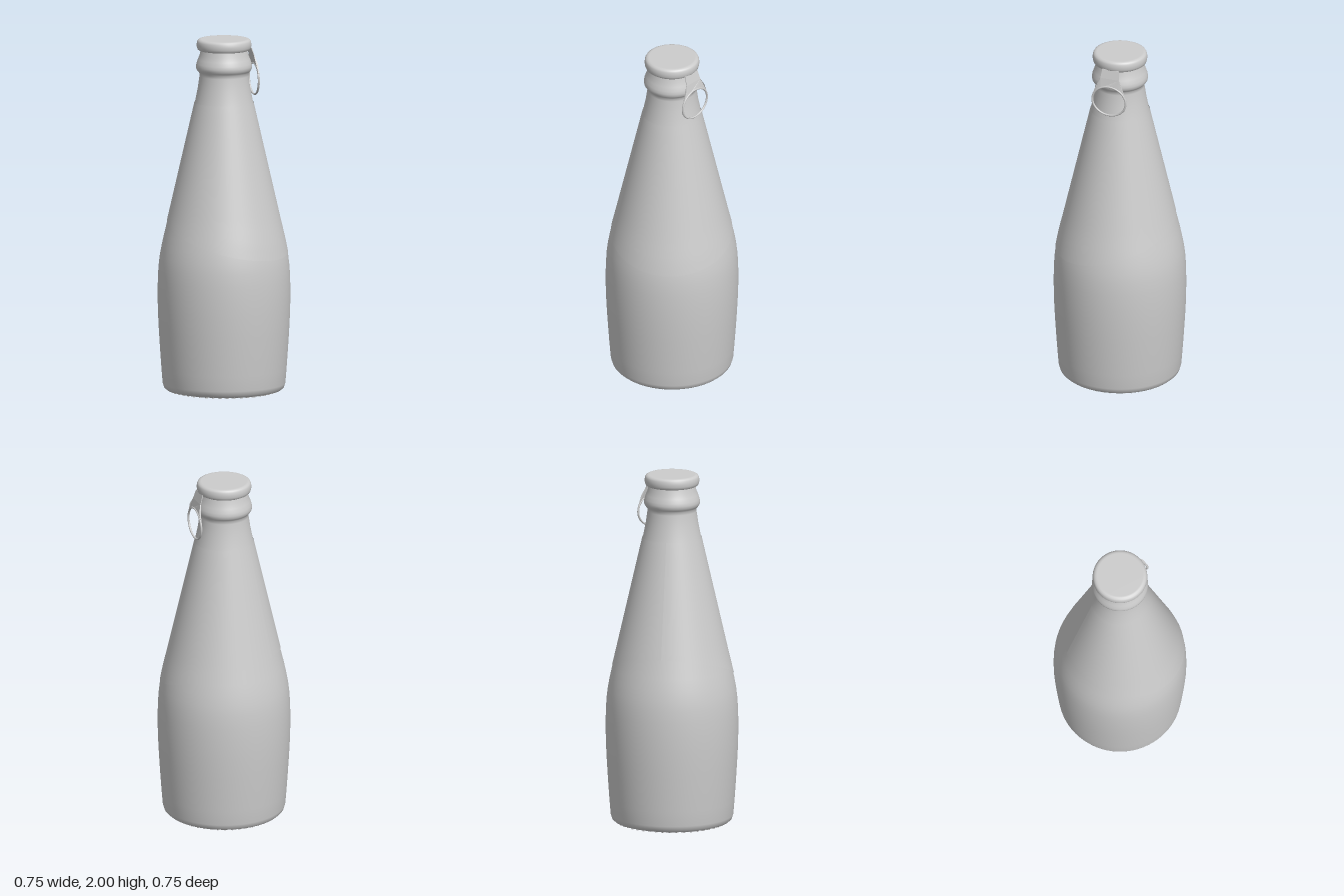
import * as THREE from 'three';

const SEGMENTS = 72;
const glassGrey = new THREE.MeshStandardMaterial({ color: 0xcccccc, side: THREE.DoubleSide });
glassGrey.name = 'plain grey';

const lathe = (pts, start = 0) =>
  new THREE.LatheGeometry(pts.map(([r, y]) => new THREE.Vector2(r, y)), SEGMENTS, start);

function addMesh(parent, name, geometry) {
  const mesh = new THREE.Mesh(geometry, glassGrey);
  mesh.name = name;
  parent.add(mesh);
  return mesh;
}

// Outer bottle profile as [radius, height], foot to lip
const PROFILE = [
  [0.305, 0.004], [0.325, 0.01], [0.338, 0.022], [0.345, 0.045], [0.352, 0.13], [0.359, 0.23],
  [0.366, 0.34], [0.372, 0.46], [0.373, 0.56], [0.372, 0.64], [0.368, 0.71], [0.361, 0.77],
  [0.35, 0.83], [0.337, 0.89], [0.32, 0.96], [0.164, 1.64], [0.148, 1.72], [0.138, 1.79],
  [0.139, 1.808], [0.148, 1.818], [0.156, 1.83], [0.158, 1.845], [0.155, 1.862],
  [0.147, 1.885], [0.137, 1.91], [0.13, 1.945],
];

// Radius of the bottle at a height
function radiusAt(y) {
  const i = Math.max(1, PROFILE.findIndex((p) => p[1] >= y));
  const [r0, y0] = PROFILE[i - 1];
  const [r1, y1] = PROFILE[i];
  return r0 + ((r1 - r0) * (y - y0)) / (y1 - y0);
}

// Thin wrap around the shoulder: lower edge dips at the front, seam at the back
function labelGeometry() {
  const rows = Array.from({ length: 17 }, (_, i) => [1, i / 16]);
  const geo = lathe(rows, Math.PI);
  const pos = geo.attributes.position;
  for (let i = 0; i < pos.count; i++) {
    const x = pos.getX(i), z = pos.getZ(i);
    const y = THREE.MathUtils.lerp(0.885 - 0.11 * z, 1.64, pos.getY(i));
    const r = radiusAt(y) + 0.003;
    pos.setXYZ(i, x * r, y, z * r);
  }
  geo.computeVertexNormals();
  return geo;
}

// Pull tab: a flared tongue from the cap, bent down onto the ring
function tabGeometry(cy, rx, ry) {
  const shape = new THREE.Shape();
  shape.moveTo(-0.05, 1.95);
  shape.lineTo(-0.056, 1.9);
  shape.lineTo(-0.075, 1.86);
  shape.lineTo(-0.095, 1.81);
  shape.lineTo(-rx, cy);
  shape.absellipse(0, cy, rx, ry, Math.PI, 0, true);
  shape.lineTo(0.095, 1.81);
  shape.lineTo(0.075, 1.86);
  shape.lineTo(0.056, 1.9);
  shape.lineTo(0.05, 1.95);
  const geo = new THREE.ExtrudeGeometry(shape, { depth: 0.004, bevelEnabled: false, curveSegments: 24 });
  const pos = geo.attributes.position;
  for (let i = 0; i < pos.count; i++) {
    const t = THREE.MathUtils.clamp((1.95 - pos.getY(i)) / 0.09, 0, 1);
    pos.setZ(i, pos.getZ(i) + THREE.MathUtils.lerp(0.145, 0.173, t));
  }
  geo.computeVertexNormals();
  return geo;
}

export function createModel() {
  const model = new THREE.Group();
  model.name = 'bottle';

  addMesh(model, 'bottleBody', lathe(PROFILE));
  addMesh(model, 'bottleBase', lathe([[0, 0.014], [0.25, 0.014], [0.268, 0.004], [0.305, 0.004]]));
  addMesh(model, 'neckLabel', labelGeometry());

  // Slanted grip ridges round the foot
  const ridges = new THREE.InstancedMesh(new THREE.BoxGeometry(0.045, 0.008, 0.01), glassGrey, 0);
  const ridgeGroup = new THREE.Group();
  ridgeGroup.name = 'footRidges';
  for (let i = 0; i < 48; i++) {
    const a = (i / 48) * Math.PI * 2;
    const ridge = addMesh(ridgeGroup, 'footRidge', ridges.geometry);
    ridge.position.set(Math.cos(a) * 0.29, 0.004, Math.sin(a) * 0.29);
    ridge.rotation.y = -a + 0.6;
  }
  model.add(ridgeGroup);

  // Cap with rolled edges
  addMesh(model, 'cap', lathe([
    [0.125, 1.938], [0.142, 1.938], [0.149, 1.943], [0.153, 1.955], [0.154, 1.97],
    [0.152, 1.985], [0.147, 1.994], [0.138, 1.999], [0.128, 2], [0, 2],
  ]));

  // Pull ring hanging off the front-left of the cap
  const pull = new THREE.Group();
  pull.name = 'pullRing';
  const cy = 1.767, rx = 0.1, ry = 0.088;
  addMesh(pull, 'pullTab', tabGeometry(cy, rx, ry));
  const ring = addMesh(pull, 'ring', new THREE.TorusGeometry(rx, 0.006, 10, 48));
  ring.scale.y = ry / rx;
  ring.position.set(0, cy, 0.175);
  pull.rotation.y = 0.9;
  model.add(pull);

  return model;
}
